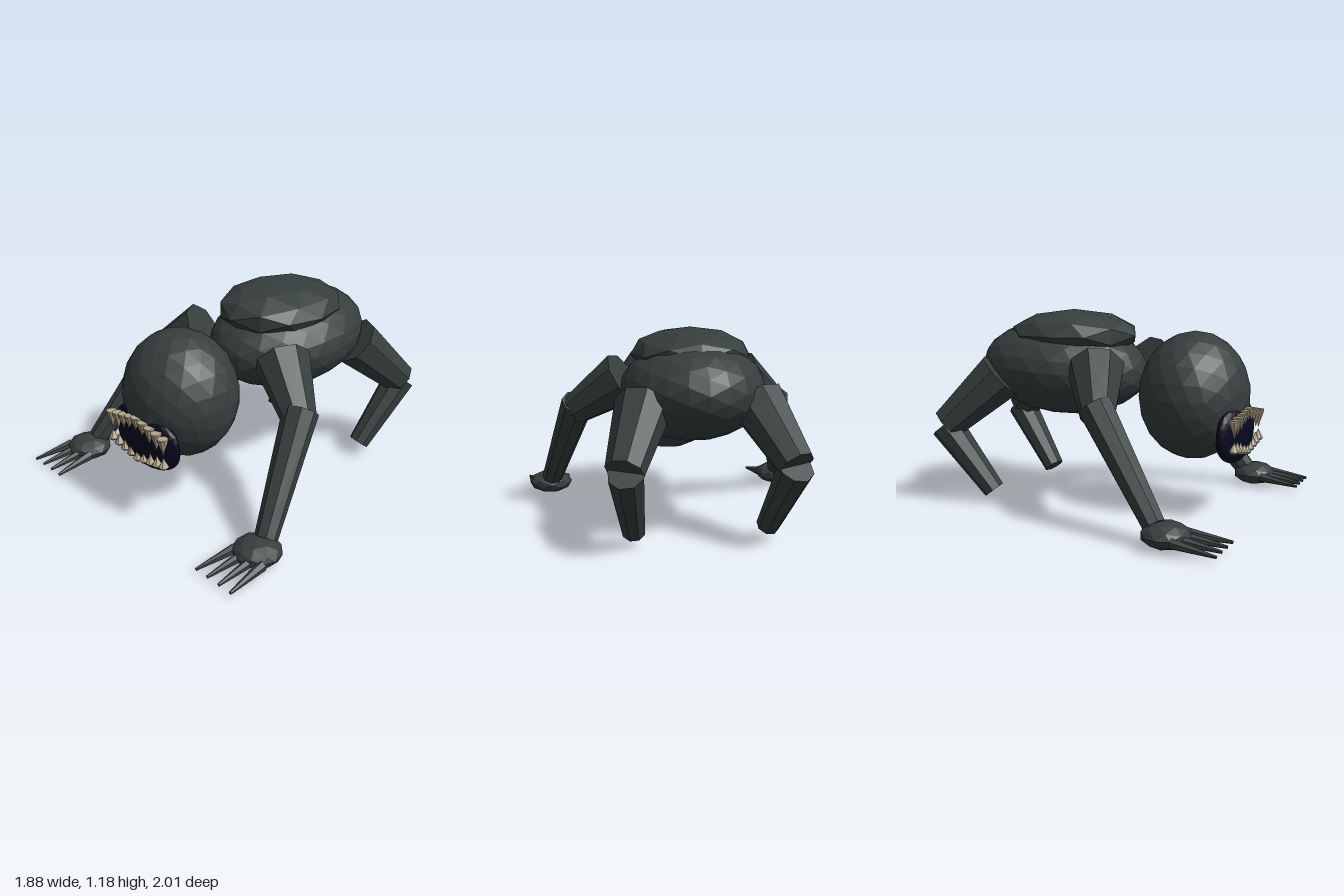
import * as THREE from 'three';

const flat = (name, color) => {
  const m = new THREE.MeshStandardMaterial({ color, flatShading: true });
  m.name = name;
  return m;
};

export function createModel() {
  const model = new THREE.Group();
  model.name = 'creature';
  const skin = flat('dark grey skin', 0x363f3e);
  const gum = flat('navy mouth', 0x080820);
  const ivory = flat('ivory teeth', 0xb3a68a);

  const add = (name, geo, mat, parent = model) => {
    const mesh = new THREE.Mesh(geo, mat);
    mesh.name = name;
    parent.add(mesh);
    return mesh;
  };

  // Faceted ellipsoid
  const blob = (name, pos, radii, detail, parent) => {
    const mesh = add(name, new THREE.IcosahedronGeometry(1, detail).scale(...radii), skin, parent);
    mesh.position.set(...pos);
    return mesh;
  };

  // Tapered faceted limb between two points
  const limb = (name, from, to, r0, r1, parent, sides = 8) => {
    const a = new THREE.Vector3(...from), b = new THREE.Vector3(...to);
    const dir = b.clone().sub(a);
    const mesh = add(name, new THREE.CylinderGeometry(r1, r0, dir.length(), sides), skin, parent);
    mesh.position.copy(a).add(b).multiplyScalar(0.5);
    mesh.quaternion.setFromUnitVectors(new THREE.Vector3(0, 1, 0), dir.normalize());
    return mesh;
  };

  // Body, raised back plate and head
  blob('body', [0, 0.825, -0.332], [0.418, 0.292, 0.542], 3).rotation.x = 0.06;
  blob('backHump', [0, 1.028, -0.265], [0.35, 0.155, 0.415], 1);
  blob('head', [0, 0.692, 0.535], [0.358, 0.38, 0.328], 3);

  // Mouth: an ellipsoid with squared upper corners, bent back around the face
  const mouthGeo = new THREE.IcosahedronGeometry(1, 5);
  const p = mouthGeo.attributes.position;
  for (let i = 0; i < p.count; i++) {
    const x = p.getX(i), y = p.getY(i);
    const e = y > 0 ? 3 : 2.2;
    const norm = (Math.abs(x) ** e + Math.abs(y) ** e) ** (1 / e);
    const k = norm > 1e-6 ? Math.hypot(x, y) / norm : 1;
    const mx = 0.277 * x * k;
    p.setXYZ(i, mx, 0.17 * y * k, 0.07 * p.getZ(i) - 0.3 * mx * mx);
  }
  const mouth = add('mouth', mouthGeo, gum);
  mouth.position.set(0, 0.483, 0.805);
  mouth.rotation.x = 0.06;

  // Two curved rows of nine teeth
  const profile = (pts) =>
    new THREE.LatheGeometry(pts.map(([x, y]) => new THREE.Vector2(x, y)), 10);
  const upperTooth = profile([[0, -0.112], [0.012, -0.068], [0.027, -0.028], [0.033, -0.006], [0.031, 0], [0, 0]]);
  const lowerTooth = profile([[0, 0], [0.018, 0.002], [0.029, 0.015], [0.02, 0.032], [0.01, 0.05], [0, 0.074]]);
  const teeth = new THREE.Group();
  teeth.name = 'teeth';
  model.add(teeth);
  for (let i = -4; i <= 4; i++) {
    const u = Math.abs(i / 4);
    add('upperTooth', upperTooth, ivory, teeth).position.set(i * 0.0593, 0.64 - 0.044 * u, 0.86);
    add('lowerTooth', lowerTooth, ivory, teeth).position.set(i * 0.0593, 0.363 + 0.042 * u, 0.86);
  }

  // Limbs, built for each side
  for (const [side, s] of [['left', 1], ['right', -1]]) {
    const arm = new THREE.Group();
    arm.name = side + 'Arm';
    limb('upperArm', [s * 0.35, 0.855, 0.06], [s * 0.645, 0.64, 0.215], 0.168, 0.1, arm);
    limb('forearm', [s * 0.63, 0.685, 0.19], [s * 0.79, 0.11, 0.61], 0.103, 0.066, arm);
    blob('hand', [s * 0.797, 0.072, 0.68], [0.142, 0.073, 0.138], 1, arm);
    for (let f = 0; f < 4; f++) {
      limb('finger', [s * (0.695 + f * 0.071), 0.065, 0.75],
        [s * (0.664 + f * 0.09), 0.036, 1.0], 0.031, 0.009, arm, 6);
    }

    const leg = new THREE.Group();
    leg.name = side + 'HindLeg';
    limb('thigh', [s * 0.32, 0.785, -0.61], [s * 0.46, 0.485, -0.91], 0.16, 0.106, leg);
    limb('shin', [s * 0.455, 0.475, -0.925], [s * 0.382, 0.078, -0.632], 0.1, 0.066, leg);
    model.add(arm, leg);
  }
  return model;
}
